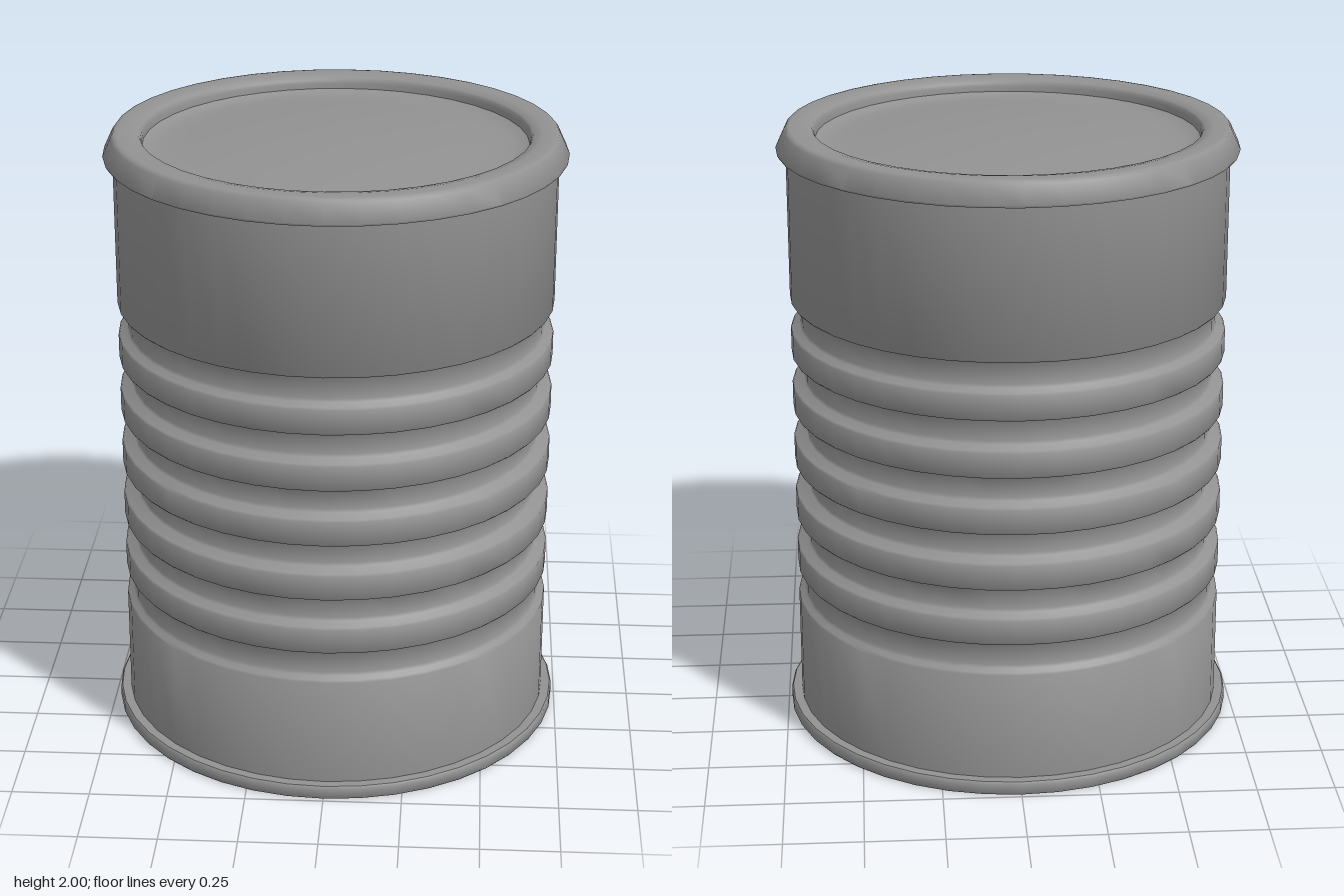
import * as THREE from 'three';
import { toCreasedNormals } from 'three/addons/utils/BufferGeometryUtils.js';

const SIDES = 40;
const BODY = 0.705;
const material = new THREE.MeshStandardMaterial({ color: 0x929292 });

// Revolve a profile listed from the bottom up as [radius, height]
function turned(name, profile) {
  const points = profile.map(([r, y]) => new THREE.Vector2(r, y));
  const geometry = toCreasedNormals(new THREE.LatheGeometry(points, SIDES), 0.9);
  const mesh = new THREE.Mesh(geometry, material);
  mesh.name = name;
  return mesh;
}

// Shallow dome from the centre height to the edge, as profile points going outward
function dome(radius, centre, edge, steps = 6) {
  return Array.from({ length: steps + 1 }, (_, i) => {
    const t = i / steps;
    return [radius * t, centre + (edge - centre) * t * t];
  });
}

export function createModel() {
  const can = new THREE.Group();
  can.name = 'tinCan';

  // Base dished inward, inside its standing rim
  can.add(turned('base', [
    ...dome(0.712, 0.07, 0.04), [0.716, 0.006], [0.722, 0], [0.735, 0],
    [0.74, 0.006], [0.74, 0.038], [0.735, 0.045], [BODY, 0.045],
  ]));

  // Wall with six grooves pressed in between the ribs
  const wall = [[BODY, 0.045]];
  [0.68, 0.665, 0.655, 0.66, 0.662, 0.672].forEach((r, i) => {
    const low = 0.413 + i * 0.186;
    const high = low + 0.094;
    wall.push(
      [BODY, low - 0.01], [BODY - 0.005, low - 0.003], [r + 0.005, low + 0.006], [r, low + 0.016],
      [r, high - 0.012], [r + 0.005, high - 0.005], [BODY - 0.005, high], [BODY, high + 0.006],
    );
  });
  wall.push([BODY, 1.925]);
  can.add(turned('wall', wall));

  // Sloped top rim, its inner step and the slightly domed lid
  can.add(turned('lid', [
    [BODY, 1.924], [0.733, 1.924], [0.736, 1.93], [0.708, 1.99], [0.702, 1.998], [0.69, 2],
    [0.65, 1.999], [0.62, 1.993], [0.615, 1.986], [0.612, 1.975], [0.611, 1.957], [0.59, 1.948],
    ...dome(0.56, 1.975, 1.945).reverse(),
  ]));

  return can;
}
